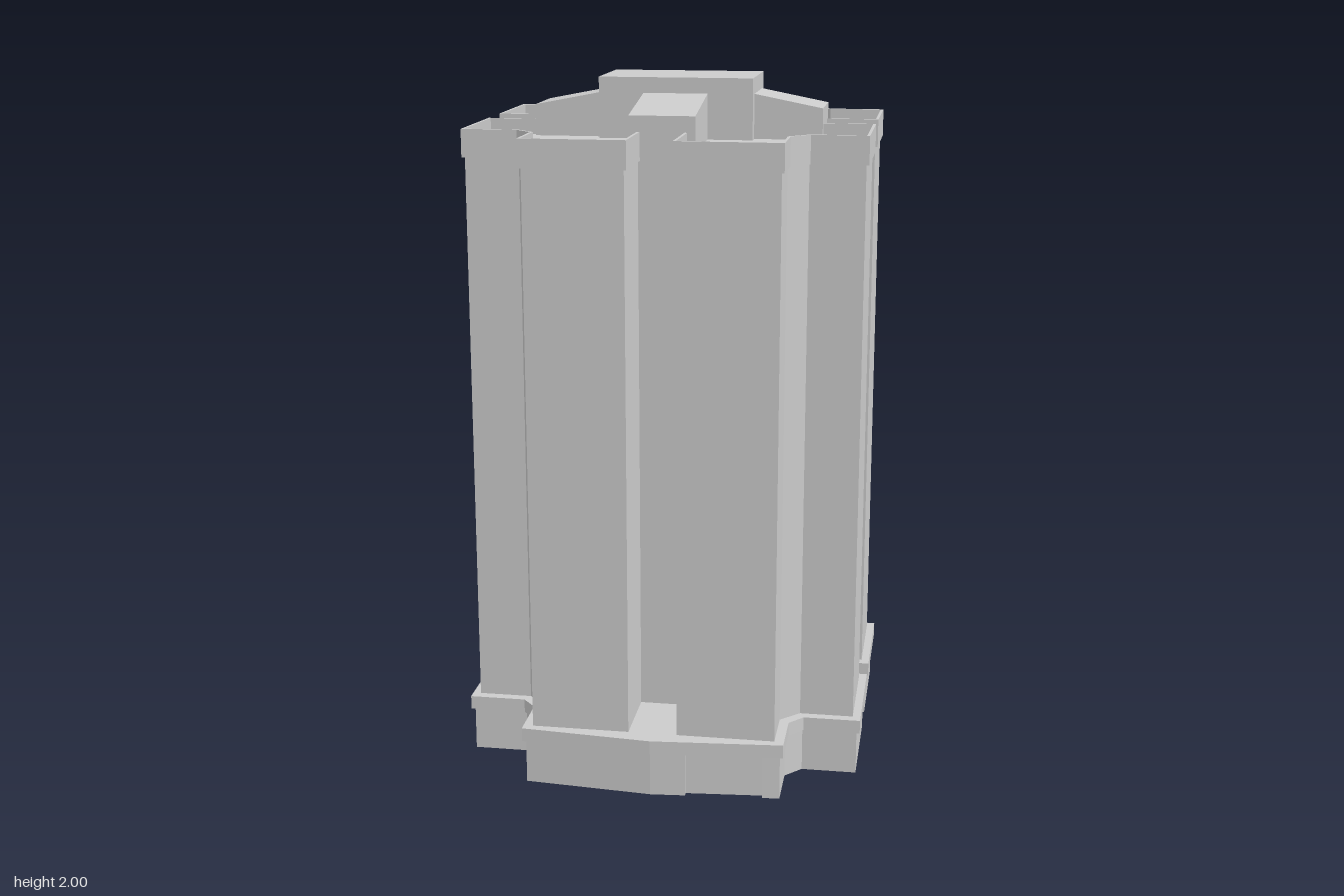
import * as THREE from 'three';

const MID = 0.0125; // z of the tower's centre line

export function createModel() {
  const model = new THREE.Group();
  const mat = new THREE.MeshStandardMaterial({ color: 0xcccccc, flatShading: true, side: THREE.DoubleSide });

  const add = (name, geo) => {
    const mesh = new THREE.Mesh(geo, mat);
    mesh.name = name;
    model.add(mesh);
    return mesh;
  };
  const vecs = pts => pts.map(([x, z]) => new THREE.Vector2(x, z));

  // Horizontal slab from a plan outline [x, z], with optional hole
  const slab = (name, outline, y0, y1, hole) => {
    const shape = new THREE.Shape(vecs(outline));
    if (hole) shape.holes.push(new THREE.Path(vecs(hole)));
    const geo = new THREE.ExtrudeGeometry(shape, { depth: y1 - y0, bevelEnabled: false });
    geo.rotateX(Math.PI / 2).translate(0, y1, 0);
    return add(name, geo);
  };

  // Upright thin wall that follows a plan path
  const wall = (name, path, y0, y1, closed) => {
    const pos = [];
    const n = closed ? path.length : path.length - 1;
    for (let i = 0; i < n; i++) {
      const [ax, az] = path[i], [bx, bz] = path[(i + 1) % path.length];
      pos.push(ax, y0, az, ax, y1, az, bx, y1, bz, ax, y0, az, bx, y1, bz, bx, y0, bz);
    }
    const geo = new THREE.BufferGeometry();
    geo.setAttribute('position', new THREE.Float32BufferAttribute(pos, 3));
    geo.computeVertexNormals();
    return add(name, geo);
  };

  // Cross-shaped tower plan with a deep slot in each side, grown by d
  const towerPlan = d => {
    const k = d * 0.41, g = 0.0625 - d;
    const quarter = [
      [g, 0.365 + d], [g, 0.5775 + d], [0.36 + d, 0.5775 + d], [0.36 + d, 0.4225 + k],
      [0.41 + k, 0.3725 + d], [0.57 + d, 0.3725 + d], [0.57 + d, g], [0.41 + d, g],
    ];
    const pts = [];
    for (const [sx, sz] of [[1, 1], [1, -1], [-1, -1], [-1, 1]]) {
      const q = quarter.map(([x, z]) => [x * sx, z * sz + MID]);
      pts.push(...(sx * sz > 0 ? q : q.reverse()));
    }
    return pts;
  };

  // Right half of the podium plan from back to front, shrunk by d
  const podiumHalf = d => {
    const k = d * 0.41;
    return [
      [0.15, -0.64 + d], [0.38 - d, -0.586 + d], [0.38 - d, -0.42 + k], [0.42 - k, -0.38 + d],
      [0.585 - d, -0.38 + d], [0.585 - d, -0.03 - d], [0.44 - d, -0.03 - d], [0.44 - d, 0.055 + d],
      [0.585 - d, 0.055 + d], [0.585 - d, 0.405 - d], [0.42 - k, 0.405 - d], [0.38 - d, 0.45 - k],
      [0.38 - d, 0.605 - d],
    ];
  };
  const mirror = pts => pts.map(([x, z]) => [-x, z]).reverse();

  // Tower shafts, roof and parapet
  const shaft = towerPlan(-0.008);
  wall('towerWalls', shaft, 0.17, 1.83, true);
  slab('towerRoof', shaft, 1.815, 1.825);
  slab('parapet', towerPlan(0), 1.79, 1.87, shaft);

  // Podium band, hollow beneath the towers
  const rim = podiumHalf(0);
  slab('podiumBand', [...rim, [0, 0.635], ...mirror(rim)], 0.13, 0.17, shaft);

  // Ground floor wall: shallow entrance bay in front, open corner at the back
  const inner = podiumHalf(0.01);
  const front = x => 0.625 - 0.08 * Math.abs(x);
  wall('groundFloorWall', [
    ...inner.slice(4),
    [0.32, front(0.32)], [0.32, front(0.32) - 0.015], [0.1, front(0.1) - 0.015], [0.1, front(0.1)],
    [0, 0.625], ...mirror(inner), [0.15, -0.63], [0.24, -0.609],
  ], 0, 0.13, false);
  const post = add('cornerPost', new THREE.BoxGeometry(0.022, 0.13, 0.022));
  post.position.set(0.36, 0.065, -0.545);

  // Roof house with four sloping arms
  const house = add('roofHouse', new THREE.BoxGeometry(0.446, 0.18, 0.27));
  house.position.set(0, 1.91, MID);

  const arm = (name, angle, near, far, width) => {
    const profile = new THREE.Shape(vecs([[near, 1.8], [far, 1.8], [far, 1.915], [near, 1.958]]));
    const geo = new THREE.ExtrudeGeometry(profile, { depth: width, bevelEnabled: false });
    geo.translate(0, 0, -width / 2).rotateY(angle).translate(0, 0, MID);
    add(name, geo);
  };
  arm('leftArm', 0, 0.2, 0.42, 0.194);
  arm('rightArm', Math.PI, 0.2, 0.42, 0.194);
  arm('frontArm', -Math.PI / 2, 0.12, 0.374, 0.186);
  arm('backArm', Math.PI / 2, 0.12, 0.374, 0.186);

  return model;
}
